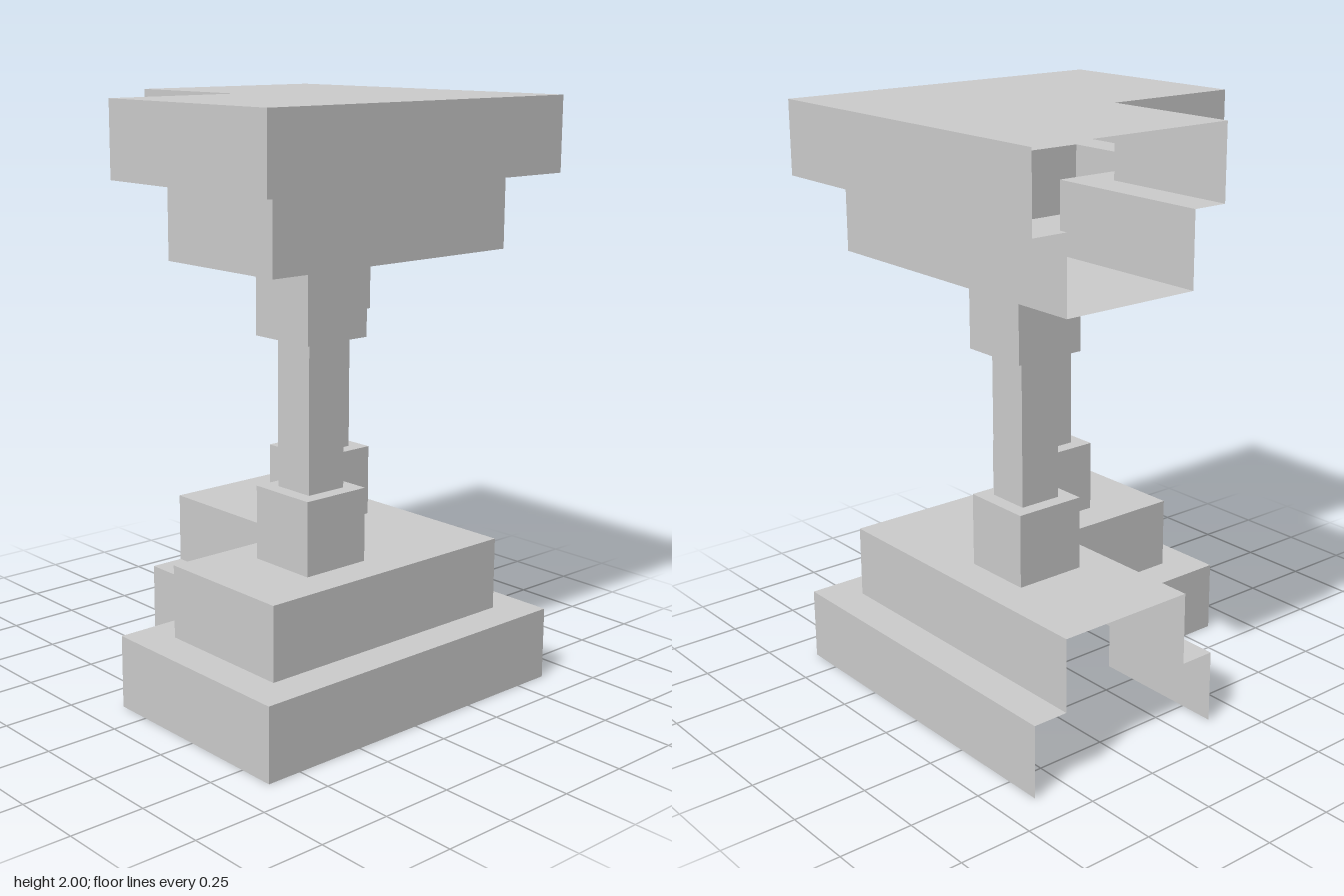
import * as THREE from 'three';
import { mergeGeometries } from 'three/addons/utils/BufferGeometryUtils.js';

const material = new THREE.MeshStandardMaterial({
  color: 0xcccccc, flatShading: true, side: THREE.DoubleSide,
});

// L-shaped outline in (x, z), open along the back end; inset shrinks every side but that end
function outline(inset) {
  const h = 0.625 - inset, n = -0.125 + inset, back = -0.625;
  return [[h, back], [h, h], [-h, h], [-h, n], [n, n], [n, back]]
    .map(([x, z]) => new THREE.Vector2(x, z));
}

// Upright walls following an outline from height y0 to y1
function walls(points, y0, y1) {
  const panels = [];
  for (let i = 0; i < points.length - 1; i++) {
    const a = points[i], b = points[i + 1];
    const panel = new THREE.PlaneGeometry(a.distanceTo(b), y1 - y0);
    panel.rotateY(Math.atan2(b.y - a.y, a.x - b.x));
    panel.translate((a.x + b.x) / 2, (y0 + y1) / 2, (a.y + b.y) / 2);
    panels.push(panel);
  }
  return mergeGeometries(panels);
}

// Flat horizontal sheet at height y, turned to face up or down
function sheet(points, y, up) {
  const geometry = new THREE.ShapeGeometry(new THREE.Shape(points));
  geometry.rotateX(Math.PI / 2);
  if (up) {
    const index = geometry.index.array;
    for (let i = 0; i < index.length; i += 3) {
      [index[i], index[i + 1]] = [index[i + 1], index[i]];
    }
    const normal = geometry.attributes.normal;
    for (let i = 0; i < normal.count; i++) normal.setXYZ(i, 0, 1, 0);
  }
  return geometry.translate(0, y, 0);
}

function add(group, name, geometry) {
  const mesh = new THREE.Mesh(geometry, material);
  mesh.name = name;
  group.add(mesh);
  return mesh;
}

export function createModel() {
  const model = new THREE.Group();
  model.name = 'corniceCornerWithColumns';

  const wide = outline(0), narrow = outline(0.125);
  const ledge = [...wide, ...narrow.slice().reverse()];

  // Stepped base shell, open underneath and at the back end
  const base = new THREE.Group();
  base.name = 'base';
  add(base, 'lowerStepWalls', walls(wide, 0, 0.25));
  add(base, 'stepLedge', sheet(ledge, 0.25, true));
  add(base, 'upperStepWalls', walls(narrow, 0.25, 0.5));
  add(base, 'baseTop', sheet(narrow, 0.5, true));

  // Stepped top shell, open only at the back end
  const top = new THREE.Group();
  top.name = 'entablature';
  add(top, 'soffit', sheet(narrow, 1.5, false));
  add(top, 'lowerCorniceWalls', walls(narrow, 1.5, 1.75));
  add(top, 'corniceLedge', sheet(ledge, 1.75, false));
  add(top, 'upperCorniceWalls', walls(wide, 1.75, 2));
  add(top, 'roof', sheet(wide, 2, true));
  model.add(base, top);

  // Two square columns, each with a cube pedestal, slim shaft and cube capital
  [[-0.125, 0.25], [0.25, -0.125]].forEach(([x, z], i) => {
    const column = new THREE.Group();
    column.name = i ? 'backColumn' : 'frontColumn';
    column.position.set(x, 0, z);
    const cube = new THREE.BoxGeometry(0.25, 0.25, 0.25);
    add(column, 'pedestal', cube).position.y = 0.625;
    add(column, 'shaft', new THREE.BoxGeometry(0.15, 0.5, 0.15)).position.y = 1;
    add(column, 'capital', cube).position.y = 1.375;
    model.add(column);
  });

  return model;
}
